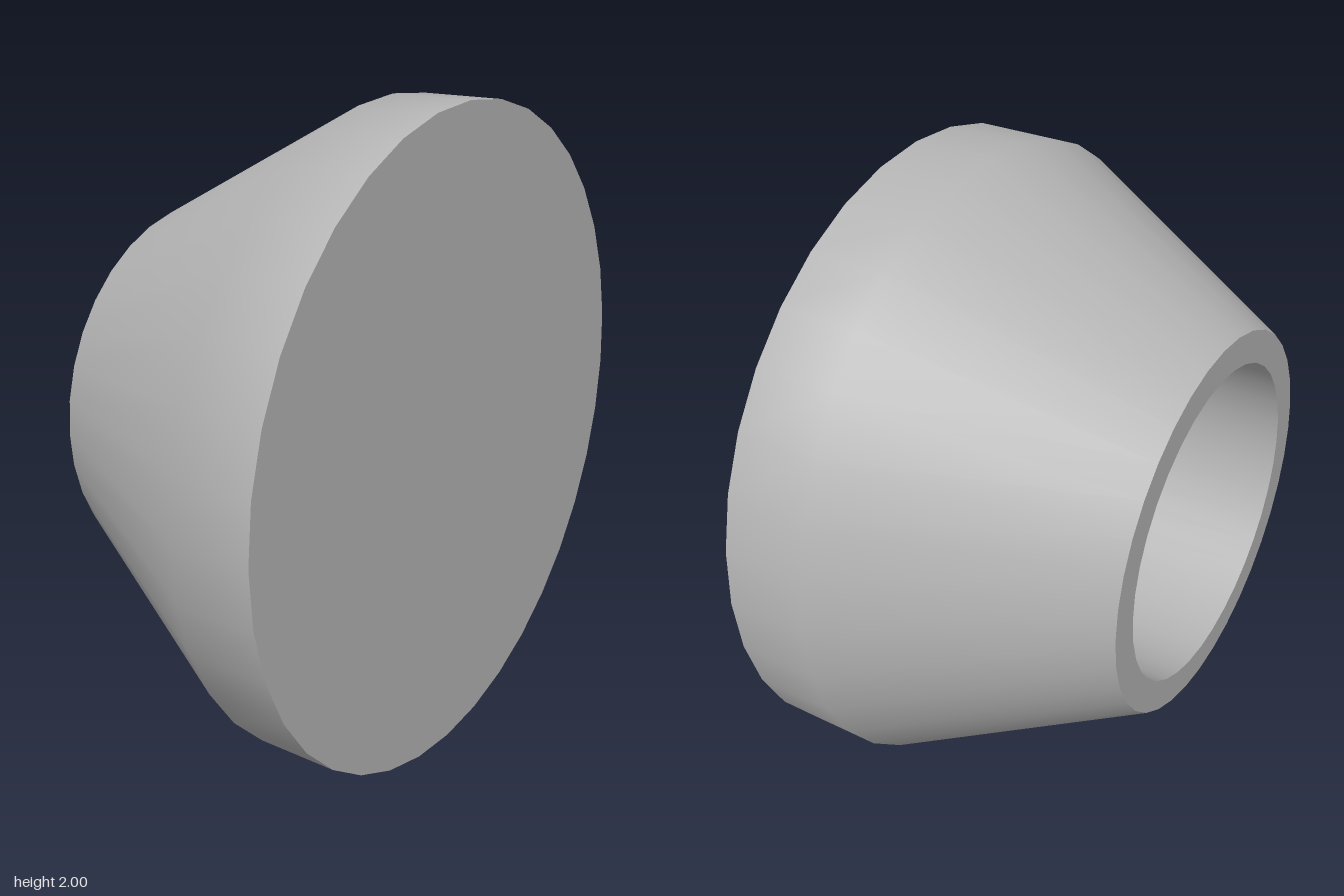
import * as THREE from 'three';

const SIDES = 36;

export function createModel() {
  const model = new THREE.Group();
  model.name = 'hollowKnob';
  const grey = new THREE.MeshStandardMaterial({ color: 0xb4b4b4 });
  grey.name = 'light grey';

  // Revolves a [radius, z] profile about the z axis, centred at y = 1
  function revolve(name, profile) {
    const points = profile.map(([r, z]) => new THREE.Vector2(r, z));
    const geometry = new THREE.LatheGeometry(points, SIDES);
    geometry.rotateX(Math.PI / 2);
    const mesh = new THREE.Mesh(geometry, grey);
    mesh.name = name;
    mesh.position.y = 1;
    model.add(mesh);
  }

  // Separate pieces keep the rims sharp; the outer bend stays smooth
  revolve('boreFloor', [[0, 0.25], [0.5, 0.25]]);
  revolve('boreWall', [[0.5, 0.25], [0.5, -0.5]]);
  revolve('backRim', [[0.5, -0.5], [0.6, -0.5]]);
  revolve('outerBody', [[0.6, -0.5], [1, 0.25], [1, 0.5]]);
  revolve('frontFace', [[1, 0.5], [0, 0.5]]);

  return model;
}
